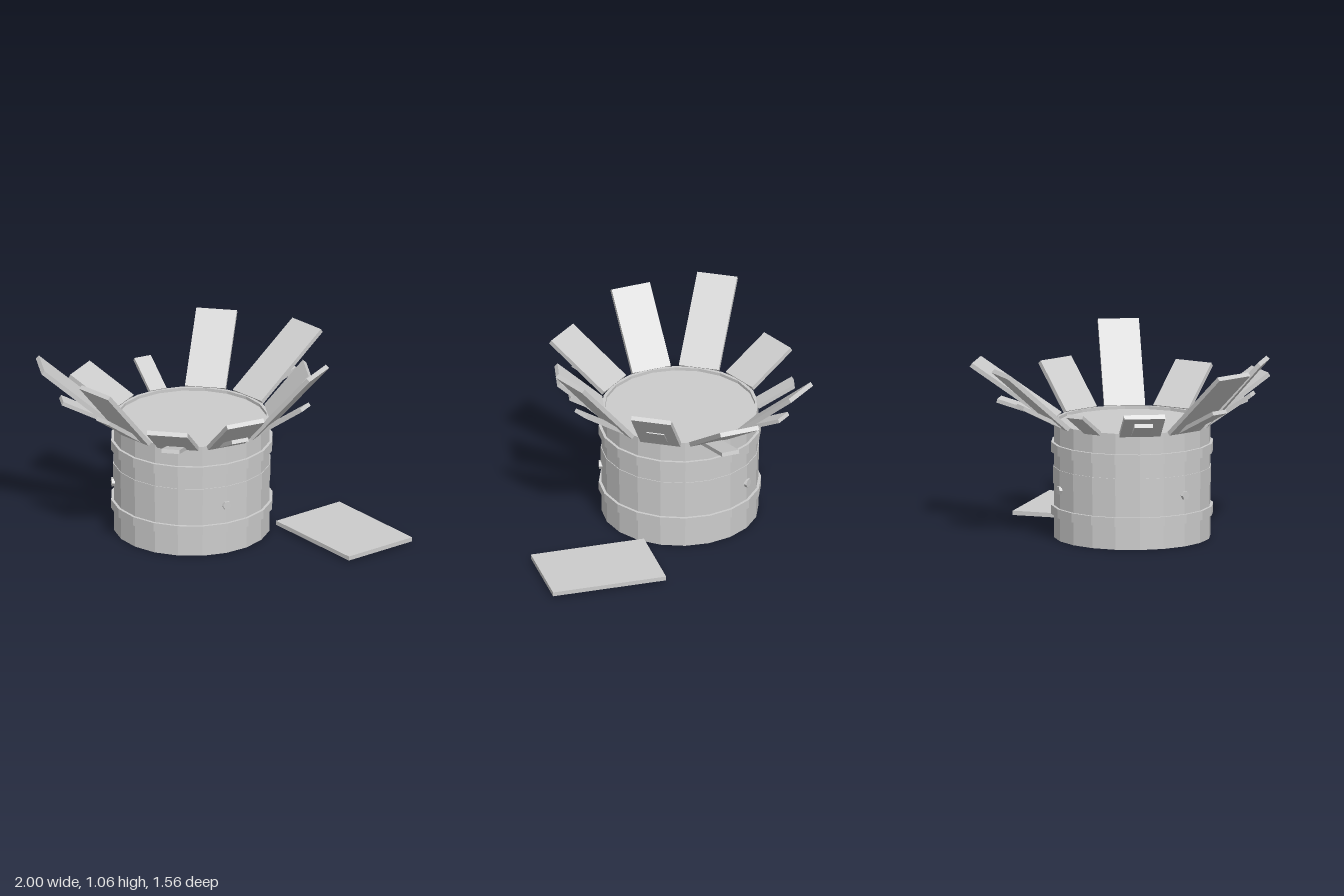
import * as THREE from 'three';

export function createModel() {
  const model = new THREE.Group();
  const grey = new THREE.MeshStandardMaterial({ color: 0xcccccc });
  grey.name = 'light grey';
  grey.flatShading = true;

  // Everything radial is built around the barrel axis
  const barrel = new THREE.Group();
  barrel.name = 'barrel';
  barrel.position.set(-0.157, 0, 0.007);
  model.add(barrel);

  const add = (parent, name, geometry) => {
    const mesh = new THREE.Mesh(geometry, grey);
    mesh.name = name;
    parent.add(mesh);
    return mesh;
  };

  // Body with a raised rim and a recessed lid
  const profile = [[0, 0], [0.43, 0], [0.43, 0.645], [0.412, 0.645], [0.412, 0.628], [0, 0.628]];
  add(barrel, 'body', new THREE.LatheGeometry(profile.map(([x, y]) => new THREE.Vector2(x, y)), 20));

  // Hoops
  for (const [name, y0, y1, r] of [
    ['lowerHoop', 0.13, 0.18, 0.445],
    ['middleHoop', 0.3, 0.395, 0.434],
    ['upperHoop', 0.475, 0.53, 0.445],
  ]) {
    add(barrel, name, new THREE.CylinderGeometry(r, r, y1 - y0, 20)).position.y = (y0 + y1) / 2;
  }

  // Holder turned so that its +x points outwards; degrees run from +x towards +z
  const spoke = (name, degrees) => {
    const holder = new THREE.Group();
    holder.name = name;
    holder.rotation.y = -THREE.MathUtils.degToRad(degrees);
    barrel.add(holder);
    return holder;
  };

  // Small six-sided plugs
  for (const degrees of [72, 180, 288]) {
    const plug = add(spoke('plugHolder', degrees), 'plug', new THREE.CylinderGeometry(0.025, 0.025, 0.04, 6));
    plug.rotation.z = -Math.PI / 2;
    plug.position.set(0.424, 0.285, 0);
  }

  // Plank leaning out from the rim to a tip at the given radius and height
  const plank = (name, degrees, radius, height, width, thickness) => {
    const start = new THREE.Vector2(0.425, 0.64);
    const slope = Math.atan2(height - start.y, radius - start.x);
    const tip = new THREE.Vector2(
      radius - Math.sin(slope) * thickness / 2,
      height - Math.cos(slope) * thickness / 2
    );
    const along = tip.clone().sub(start);
    const mesh = add(spoke(name + 'Holder', degrees), name,
      new THREE.BoxGeometry(along.length(), thickness, width));
    mesh.rotation.z = along.angle();
    mesh.position.set((start.x + tip.x) / 2, (start.y + tip.y) / 2, 0);
  };

  // Wide planks: angle, tip radius, tip height
  for (const [a, r, h] of [
    [0, 0.647, 0.9], [36, 0.79, 1.065], [72, 0.68, 0.865], [108, 0.775, 0.87], [144, 0.745, 1.01],
    [180, 0.845, 1.01], [216, 0.705, 0.8], [288, 0.79, 0.965], [324, 0.885, 0.945],
  ]) plank('widePlank', a, r, h, 0.225, 0.025);

  // Narrow planks lying lower
  for (const [a, r, h] of [
    [0, 0.55, 0.775], [36, 0.71, 0.85], [72, 0.61, 0.74], [108, 0.67, 0.725], [144, 0.68, 0.825],
    [180, 0.725, 0.795], [216, 0.65, 0.74], [252, 0.627, 0.77], [288, 0.675, 0.775], [324, 0.75, 0.74],
  ]) plank('narrowPlank', a, r, h, 0.1, 0.022);

  // Board lying on the ground beside the barrel
  const board = add(model, 'fallenBoard', new THREE.BoxGeometry(0.643, 0.024, 0.44));
  board.position.set(0.648, 0.027, 0.262);
  board.rotation.y = -THREE.MathUtils.degToRad(59.7);

  return model;
}
